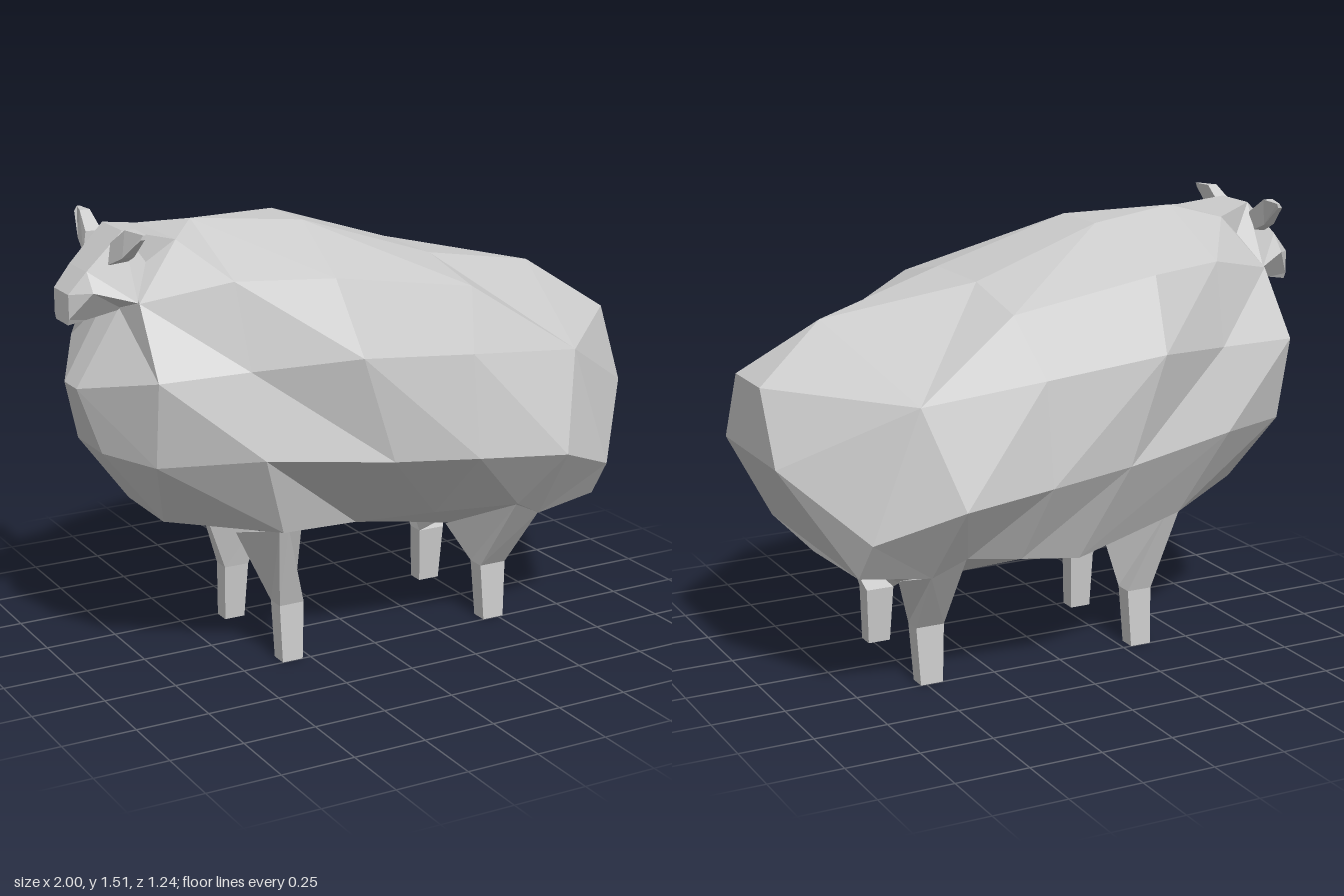
import * as THREE from 'three';

const material = new THREE.MeshStandardMaterial({ color: 0xcccccc, flatShading: true });

// Skins closed rings of [x, y, z] points into a faceted solid, facing outward
function loft(name, rings, caps = true) {
  const tris = [];
  const n = rings[0].length;
  const add = (...pts) => {
    const t = pts.map(p => new THREE.Vector3(...p));
    const area = t[1].clone().sub(t[0]).cross(t[2].clone().sub(t[0])).length();
    if (area > 1e-6) tris.push(t);
  };
  for (let i = 0; i + 1 < rings.length; i++) {
    for (let k = 0; k < n; k++) {
      const a = rings[i][k], b = rings[i][(k + 1) % n];
      const c = rings[i + 1][(k + 1) % n], d = rings[i + 1][k];
      // mirrored diagonals keep both sides alike
      if (k < n / 2) { add(a, b, c); add(a, c, d); }
      else { add(a, b, d); add(b, c, d); }
    }
  }
  if (caps) {
    const first = rings[0], last = rings[rings.length - 1];
    for (let k = 1; k + 1 < n; k++) {
      add(first[0], first[k + 1], first[k]);
      add(last[0], last[k], last[k + 1]);
    }
  }
  let volume = 0;
  for (const [a, b, c] of tris) volume += a.dot(b.clone().cross(c));
  if (volume < 0) tris.forEach(t => t.reverse());
  const geometry = new THREE.BufferGeometry().setFromPoints(tris.flat());
  geometry.computeVertexNormals();
  const mesh = new THREE.Mesh(geometry, material);
  mesh.name = name;
  return mesh;
}

// Joins a half section, from top centre to bottom centre, to its reflected far half
const mirrorRing = (near, far = near) => [
  ...near,
  ...far.slice(1, -1).reverse().map(([x, y, z]) => [x, y, -z]),
];

function createBody() {
  // Repeated points merge neighbouring facets into larger ones
  const chest = [[-0.79, 1.44, 0], [-0.8, 1.38, 0.05], [-0.83, 1.24, 0.06],
    [-0.98, 0.99, 0.05], [-0.92, 0.78, 0.1], [-0.73, 0.53, 0.1], [-0.73, 0.53, 0]];
  const neck = [[-0.67, 1.46, 0], [-0.67, 1.46, 0.15], [-0.82, 1.28, 0.2],
    [-0.83, 1.06, 0.355], [-0.82, 0.77, 0.3], [-0.73, 0.53, 0.14], [-0.72, 0.53, 0]];
  const shoulder = [[-0.55, 1.49, 0], [-0.55, 1.49, 0], [-0.55, 1.345, 0.32],
    [-0.535, 1.07, 0.4], [-0.52, 0.795, 0.47], [-0.4, 0.5, 0.35], [-0.44, 0.43, 0]];
  const middle = [[-0.2, 1.47, 0], [-0.2, 1.47, 0.11], [-0.25, 1.345, 0.43],
    [-0.22, 1.11, 0.56], [-0.1, 0.75, 0.55], [0.03, 0.375, 0.06], [0.03, 0.37, 0]];
  const loin = [[0.26, 1.32, 0], [0.26, 1.32, 0.15], [0.26, 1.26, 0.42],
    [0.2, 1.065, 0.535], [0.2, 0.725, 0.585], [0.24, 0.43, 0.24], [0.25, 0.32, 0]];
  const hip = [[0.75, 1.215, 0], [0.75, 1.215, 0], [0.62, 1.02, 0.5],
    [0.62, 1.02, 0.5], [0.52, 0.7, 0.62], [0.44, 0.49, 0.45], [0.48, 0.275, 0]];
  const haunch = [[1, 1.04, 0], [1, 1.04, 0.11], [1, 1.04, 0.11],
    [1, 0.8, 0.23], [0.78, 0.59, 0.48], [0.55, 0.43, 0.415], [0.6, 0.335, 0]];
  const rump = [[1, 1.04, 0], [1, 1.04, 0.11], [1, 1.04, 0.11],
    [1, 0.8, 0.23], [0.79, 0.455, 0.385], [0.79, 0.455, 0.385], [0.79, 0.435, 0]];
  // The belly bulges lower down on the far side only
  const farMiddle = middle.with(5, [0.02, 0.42, 0.42]);
  const farLoin = loin.with(5, [0.24, 0.455, 0.435]);
  const flatten = half => half.map(([x, y]) => [x, y, 0]);
  const halves = [[flatten(chest)], [chest], [neck], [shoulder], [middle, farMiddle],
    [loin, farLoin], [hip], [haunch], [rump], [flatten(rump)]];
  return loft('body', halves.map(([near, far]) => mirrorRing(near, far)), false);
}

function createHead() {
  // x, then height and half width at the crown, cheek and jaw
  const sections = [
    [-1, 1.3, 0.06, 1.22, 0.06, 1.2, 0.05],
    [-0.94, 1.37, 0.07, 1.31, 0.12, 1.21, 0.05],
    [-0.82, 1.49, 0.08, 1.28, 0.19, 1.235, 0.06],
    [-0.67, 1.46, 0.148, 1.25, 0.16, 1.2, 0.1],
  ];
  return loft('head', sections.map(([x, y1, z1, y2, z2, y3, z3]) =>
    mirrorRing([[x, y1, 0], [x, y1, z1], [x, y2, z2], [x, y3, z3], [x, y3, 0]])));
}

// Foot and knee are level; the thigh corners follow the underside of the body
function createLeg(name, { foot, knee, thigh }, side) {
  const level = (y, [x0, x1, z0, z1]) => [[x0, y, z0], [x1, y, z0], [x1, y, z1], [x0, y, z1]];
  const rings = [level(0, foot), level(0.2, knee), thigh];
  return loft(name, rings.map(ring => ring.map(([x, y, z]) => [x, y, side * z])));
}

// Four-cornered sections going outward: z, xMin, xMax, yMin, yMax
function createEar(name, side) {
  const sections = [
    [0.1, -0.88, -0.82, 1.39, 1.46],
    [0.18, -0.865, -0.825, 1.425, 1.513],
    [0.265, -0.84, -0.825, 1.495, 1.51],
  ];
  return loft(name, sections.map(([z, x0, x1, y0, y1]) =>
    [[x0, y0, side * z], [x1, y0, side * z], [x1 + 0.005, y1, side * z], [x0 + 0.01, y1, side * z]]));
}

export function createModel() {
  const model = new THREE.Group();
  model.name = 'sheep';
  model.add(createBody(), createHead());

  const foreleg = {
    foot: [-0.355, -0.28, 0.19, 0.25],
    knee: [-0.36, -0.27, 0.175, 0.24],
    thigh: [[-0.46, 0.44, 0.12], [-0.22, 0.41, 0.13], [-0.37, 0.5, 0.33], [-0.41, 0.505, 0.34]],
  };
  const hindleg = {
    foot: [0.44, 0.52, 0.19, 0.25],
    knee: [0.43, 0.53, 0.175, 0.24],
    thigh: [[0.42, 0.29, 0.02], [0.6, 0.38, 0.26], [0.55, 0.43, 0.41], [0.44, 0.485, 0.44]],
  };
  // The animal looks toward -x, so its near and far sides lie on +z and -z
  for (const [label, side] of [['near', 1], ['far', -1]]) {
    model.add(
      createLeg(`${label}Foreleg`, foreleg, side),
      createLeg(`${label}Hindleg`, hindleg, side),
      createEar(`${label}Ear`, side),
    );
  }
  return model;
}
